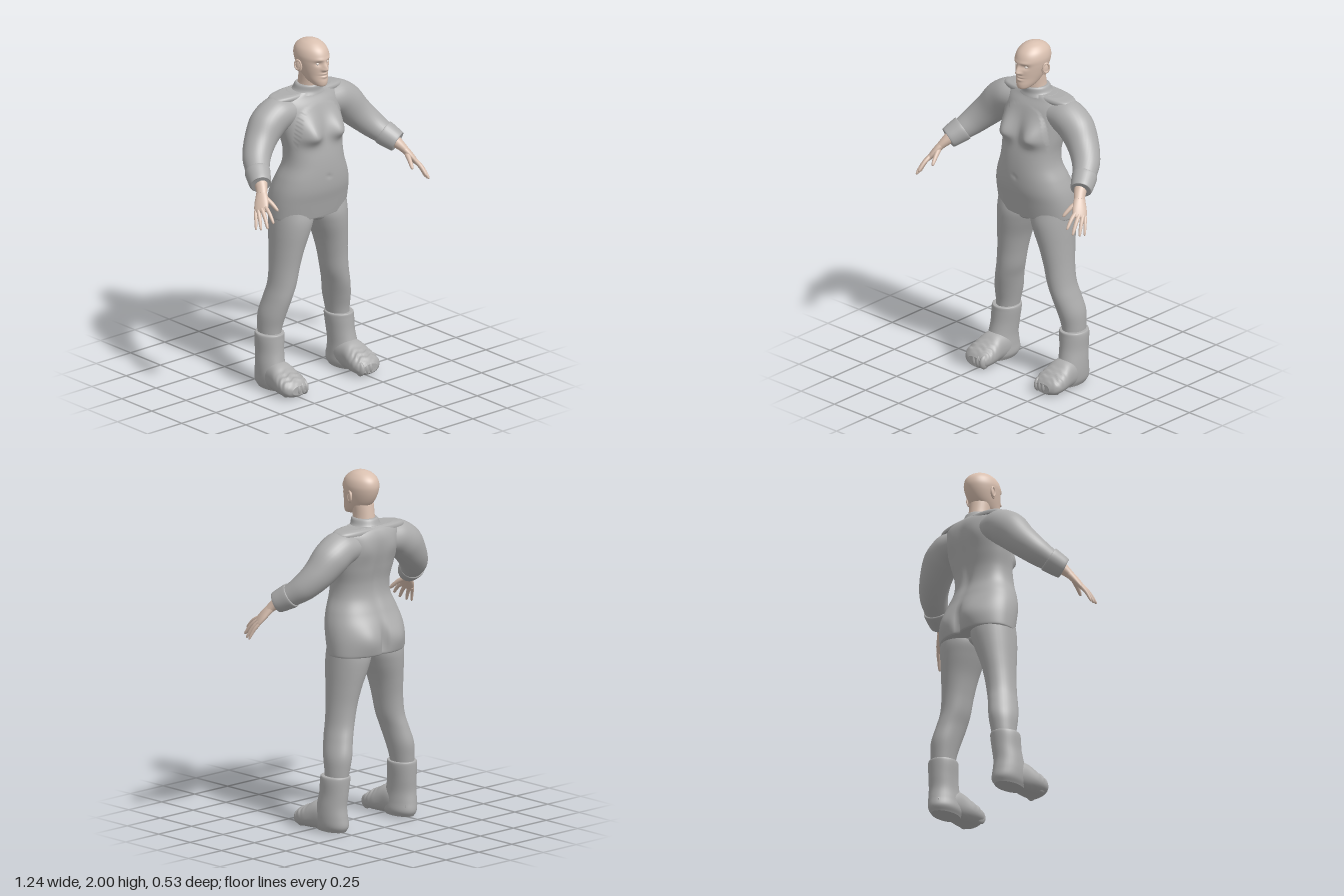
import * as THREE from 'three';

const V = (x, y, z) => new THREE.Vector3(x, y, z);
const bump = (...d) => Math.exp(-d.reduce((s, k) => s + k * k, 0));
const pow = (t, p) => Math.sign(t) * Math.abs(t) ** p;

const cloth = new THREE.MeshStandardMaterial({ color: 0xadadad, name: 'greyCloth' });
const skin = new THREE.MeshStandardMaterial({ color: 0xd9c0b0, name: 'skin' });
const eyeWhite = new THREE.MeshStandardMaterial({ color: 0xe4dbd4, name: 'eyeWhite' });

// Smooth closed body through cross-sections {c, u, v}: centre and two half axes
function loft(name, mat, sections, { segs = 32, steps = 6, p = 1, sculpt } = {}) {
  const curve = k => new THREE.CatmullRomCurve3(sections.map(s => s[k]), false, 'catmullrom');
  const [C, U, W] = ['c', 'u', 'v'].map(curve);
  const rows = (sections.length - 1) * steps;
  const pos = [], idx = [];
  for (let i = 0; i <= rows; i++) {
    const t = i / rows, c = C.getPoint(t), u = U.getPoint(t), w = W.getPoint(t);
    for (let j = 0; j < segs; j++) {
      const a = j / segs * Math.PI * 2;
      const q = c.clone().addScaledVector(u, pow(Math.cos(a), p)).addScaledVector(w, pow(Math.sin(a), p));
      if (sculpt) sculpt(q);
      pos.push(q.x, q.y, q.z);
    }
  }
  const dir = C.getPoint(0.55).sub(C.getPoint(0.45));
  const flip = U.getPoint(0.5).cross(W.getPoint(0.5)).dot(dir) < 0;
  const tri = (a, b, c) => flip ? idx.push(a, c, b) : idx.push(a, b, c);
  for (let i = 0; i < rows; i++) for (let j = 0; j < segs; j++) {
    const a = i * segs + j, b = i * segs + (j + 1) % segs;
    tri(a, b, b + segs);
    tri(a, b + segs, a + segs);
  }
  // end caps with their own ring, so the rim stays crisp
  for (const end of [0, 1]) {
    const start = pos.length / 3, c = C.getPoint(end);
    pos.push(...pos.slice(end * rows * segs * 3, (end * rows + 1) * segs * 3), c.x, c.y, c.z);
    for (let j = 0; j < segs; j++) {
      const a = start + j, b = start + (j + 1) % segs, m = start + segs;
      end ? tri(a, b, m) : tri(b, a, m);
    }
  }
  const g = new THREE.BufferGeometry();
  g.setAttribute('position', new THREE.Float32BufferAttribute(pos, 3));
  g.setIndex(idx);
  g.computeVertexNormals();
  const mesh = new THREE.Mesh(g, mat);
  mesh.name = name;
  return mesh;
}

// Horizontal slices: [y, halfWidth, frontZ, backZ, centreX]
const slices = (rows, s = 1) => rows.map(([y, w, f, b, x = 0]) =>
  ({ c: V(x * s, y, (f + b) / 2), u: V(w, 0, 0), v: V(0, 0, (f - b) / 2) }));

// Limb slices along a path: [x, y, z, radius, radius2]; radius lies along "across"
function limb(pts, s = 1, across = [0, 1, 0]) {
  const P = pts.map(([x, y, z]) => V(x * s, y, z)), A = V(across[0] * s, across[1], across[2]);
  return pts.map(([, , , r, r2 = r], i) => {
    const t = P[Math.min(i + 1, P.length - 1)].clone().sub(P[Math.max(i - 1, 0)]).normalize();
    const u = A.clone().addScaledVector(t, -A.dot(t)).normalize();
    return { c: P[i], u: u.clone().multiplyScalar(r), v: t.clone().cross(u).multiplyScalar(r2) };
  });
}

function ball(name, mat, p, r) {
  const m = new THREE.Mesh(new THREE.SphereGeometry(1, 20, 14), mat);
  m.name = name;
  m.position.set(...p);
  m.scale.set(...r);
  return m;
}

// Bust, buttocks, spine groove and shoulder blades
function sculptTorso(q) {
  const x = Math.abs(q.x);
  if (q.z > 0) {
    q.z += 0.055 * bump((x - 0.095) / 0.062, (q.y - 1.475) / (q.y < 1.475 ? 0.045 : 0.085));
    q.z -= 0.006 * bump(q.x / 0.012, (q.y - 1.23) / 0.012);
  } else if (q.z < -0.1) {
    q.z -= 0.028 * bump((x - 0.105) / 0.085, (q.y - 1.07) / 0.08);
    q.z += 0.03 * bump(x / 0.018, (q.y - 1.05) / 0.085);
    q.z += 0.014 * bump(x / 0.03, (q.y - 1.42) / 0.17);
    q.z -= 0.008 * bump((x - 0.1) / 0.05, (q.y - 1.58) / 0.06);
  }
}

// Nose, eye sockets, brow, lips and chin
function sculptFace(q) {
  if (q.z < -0.02) return;
  const x = Math.abs(q.x);
  q.z += 0.026 * bump(x / 0.014, (q.y - 1.85) / (q.y < 1.85 ? 0.012 : 0.034));
  q.z += 0.008 * bump((x - 0.013) / 0.008, (q.y - 1.846) / 0.009);
  q.z -= 0.010 * bump((x - 0.034) / 0.018, (q.y - 1.882) / 0.014);
  q.z += 0.005 * bump((x - 0.03) / 0.03, (q.y - 1.905) / 0.01);
  q.z += 0.008 * bump(x / 0.022, (q.y - 1.821) / 0.007);
  q.z += 0.008 * bump(x / 0.02, (q.y - 1.804) / 0.007);
  q.z -= 0.004 * bump(x / 0.025, (q.y - 1.813) / 0.003);
}

function addHead(g) {
  g.add(loft('neck', skin, slices([[1.67, 0.066, -0.03, -0.16], [1.74, 0.057, -0.02, -0.15], [1.81, 0.058, -0.01, -0.14]])));
  g.add(loft('head', skin, slices([
    [1.745, 0.012, 0.038, 0.0], [1.752, 0.034, 0.05, -0.03], [1.775, 0.052, 0.054, -0.09],
    [1.81, 0.066, 0.049, -0.13], [1.845, 0.076, 0.05, -0.155], [1.885, 0.084, 0.051, -0.172],
    [1.92, 0.086, 0.05, -0.177], [1.955, 0.076, 0.033, -0.166], [1.982, 0.053, 0.0, -0.135],
    [1.996, 0.025, -0.035, -0.095], [2.0, 0.002, -0.06, -0.066]]),
  { segs: 80, steps: 9, sculpt: sculptFace }));
  for (const s of [1, -1]) {
    g.add(ball('eye', eyeWhite, [s * 0.033, 1.882, 0.027], [0.012, 0.008, 0.01]));
    const ear = ball('ear', skin, [s * 0.087, 1.858, -0.066], [0.009, 0.034, 0.02]);
    ear.rotation.set(-0.15, s * -0.35, 0);
    const rim = new THREE.Mesh(new THREE.TorusGeometry(0.019, 0.005, 8, 24), skin);
    rim.name = 'earRim';
    rim.position.set(s * 0.094, 1.864, -0.068);
    rim.rotation.y = Math.PI / 2 - s * 0.35;
    rim.scale.y = 1.4;
    g.add(ear, rim);
  }
}

function addArm(g, s) {
  g.add(loft('sleeve', cloth, limb([
    [0.13, 1.6, -0.11, 0.085, 0.095], [0.21, 1.592, -0.112, 0.1, 0.102], [0.285, 1.545, -0.11, 0.102, 0.1],
    [0.355, 1.468, -0.088, 0.088, 0.088], [0.415, 1.402, -0.045, 0.076, 0.078],
    [0.455, 1.355, 0.01, 0.064, 0.066], [0.485, 1.32, 0.06, 0.054, 0.055]], s)));
  // turned-back cuff
  g.add(loft('cuff', cloth, limb([
    [0.458, 1.355, 0.01, 0.064], [0.46, 1.352, 0.014, 0.071], [0.478, 1.331, 0.046, 0.067],
    [0.498, 1.308, 0.082, 0.06], [0.5, 1.306, 0.086, 0.052]], s), { steps: 4 }));
  const across = [0.04, -0.025, -0.045];
  g.add(loft('wrist', skin, limb([
    [0.48, 1.325, 0.06, 0.04], [0.505, 1.29, 0.1, 0.033, 0.028], [0.522, 1.265, 0.122, 0.03, 0.022]], s, across)));
  g.add(loft('palm', skin, limb([
    [0.512, 1.28, 0.108, 0.028, 0.022], [0.53, 1.252, 0.13, 0.036, 0.021],
    [0.55, 1.22, 0.15, 0.041, 0.018], [0.567, 1.19, 0.167, 0.038, 0.013], [0.57, 1.184, 0.171, 0.025, 0.006]], s, across), { segs: 24 }));
  // knuckle, tip and radius of each finger
  const fingers = {
    indexFinger: [[0.547, 1.208, 0.188], [0.558, 1.14, 0.262], 0.0105],
    middleFinger: [[0.565, 1.197, 0.175], [0.588, 1.112, 0.248], 0.011],
    ringFinger: [[0.579, 1.186, 0.16], [0.607, 1.1, 0.213], 0.0105],
    littleFinger: [[0.587, 1.178, 0.145], [0.618, 1.097, 0.183], 0.009],
    thumb: [[0.519, 1.252, 0.135], [0.49, 1.185, 0.222], 0.0125],
  };
  for (const [name, [a, b, r]] of Object.entries(fingers)) {
    const at = (t, k) => [...a.map((v, i) => v + (b[i] - v) * t + (i === 1 ? 0.008 * Math.sin(t * Math.PI) : 0)), r * k];
    g.add(loft(name, skin, limb([at(-0.15, 1), at(0.2, 1.1), at(0.5, 1), at(0.8, 0.85), at(0.95, 0.6), at(1, 0.1)], s, across),
      { segs: 12, steps: 3 }));
  }
}

function addLeg(g, s) {
  g.add(loft('trouserLeg', cloth, slices([
    [1.04, 0.118, 0.03, -0.22, 0.122], [0.97, 0.119, 0.042, -0.226, 0.124], [0.9, 0.108, 0.038, -0.218, 0.137],
    [0.8, 0.089, 0.022, -0.2, 0.158], [0.7, 0.078, 0.008, -0.185, 0.174], [0.6, 0.073, 0.0, -0.182, 0.19],
    [0.52, 0.07, -0.01, -0.195, 0.212], [0.43, 0.071, -0.032, -0.211, 0.234],
    [0.35, 0.064, -0.052, -0.205, 0.245], [0.27, 0.056, -0.06, -0.195, 0.252]], s)));
  g.add(loft('bootShaft', cloth, slices([
    [0.322, 0.066, -0.045, -0.198, 0.252], [0.318, 0.077, -0.036, -0.209, 0.252], [0.29, 0.079, -0.034, -0.21, 0.254],
    [0.22, 0.074, -0.028, -0.205, 0.258], [0.15, 0.074, -0.012, -0.2, 0.263],
    [0.09, 0.076, 0.01, -0.207, 0.262], [0.04, 0.074, 0.01, -0.212, 0.258], [0.008, 0.058, 0, -0.195, 0.258]], s)));
  const foot = [[-0.19, 0.255, 0.06, 0.04, 0.045], [-0.1, 0.258, 0.085, 0.07, 0.08], [-0.02, 0.262, 0.087, 0.078, 0.083],
    [0.04, 0.263, 0.071, 0.088, 0.068], [0.09, 0.263, 0.06, 0.088, 0.056], [0.12, 0.261, 0.053, 0.076, 0.044],
    [0.137, 0.258, 0.048, 0.05, 0.026]];
  // soft foot, creased over the toes
  g.add(loft('bootFoot', cloth, foot.map(([z, x, y, w, h]) => ({ c: V(x * s, y, z), u: V(w, 0, 0), v: V(0, h, 0) })), {
    segs: 48, steps: 8, p: 0.88,
    sculpt: q => { if (q.y > 0.06) q.y += 0.004 * Math.sin(q.z * 190 + 1.5 * Math.sin(q.x * 90)) * bump((q.z - 0.08) / 0.045); },
  }));
  for (let i = 0; i < 5; i++)
    g.add(ball('toeBulge', cloth, [s * (0.205 + i * 0.028), 0.05, 0.108 - 0.006 * Math.max(0, i - 2) ** 2], [0.019, 0.042, 0.036]));
}

export function createModel() {
  const g = new THREE.Group();
  g.name = 'figure';
  g.add(loft('bodice', cloth, slices([
    [0.985, 0.243, 0.046, -0.243], [1.0, 0.247, 0.05, -0.25], [1.08, 0.247, 0.068, -0.248], [1.15, 0.238, 0.084, -0.238],
    [1.22, 0.217, 0.089, -0.213], [1.3, 0.186, 0.086, -0.185], [1.38, 0.18, 0.075, -0.183], [1.47, 0.194, 0.054, -0.202],
    [1.56, 0.206, 0.03, -0.22], [1.63, 0.205, 0.005, -0.222], [1.675, 0.19, -0.022, -0.208], [1.7, 0.12, -0.03, -0.185]]),
  { segs: 96, steps: 8, p: 0.9, sculpt: sculptTorso }));
  g.add(ball('crotch', cloth, [0, 0.985, -0.06], [0.045, 0.045, 0.1]));
  // raised shoulder panel and stand collar
  g.add(loft('shoulderYoke', cloth, slices([
    [1.668, 0.246, -0.04, -0.198], [1.68, 0.244, -0.038, -0.198], [1.692, 0.225, -0.042, -0.193],
    [1.699, 0.17, -0.05, -0.18]]), { segs: 64, steps: 4, p: 0.7 }));
  g.add(loft('collar', cloth, slices([
    [1.685, 0.105, -0.008, -0.19], [1.705, 0.083, -0.014, -0.178], [1.73, 0.073, -0.014, -0.168],
    [1.738, 0.066, -0.02, -0.16]])));
  addHead(g);
  for (const s of [1, -1]) {
    addArm(g, s);
    addLeg(g, s);
  }
  return g;
}
